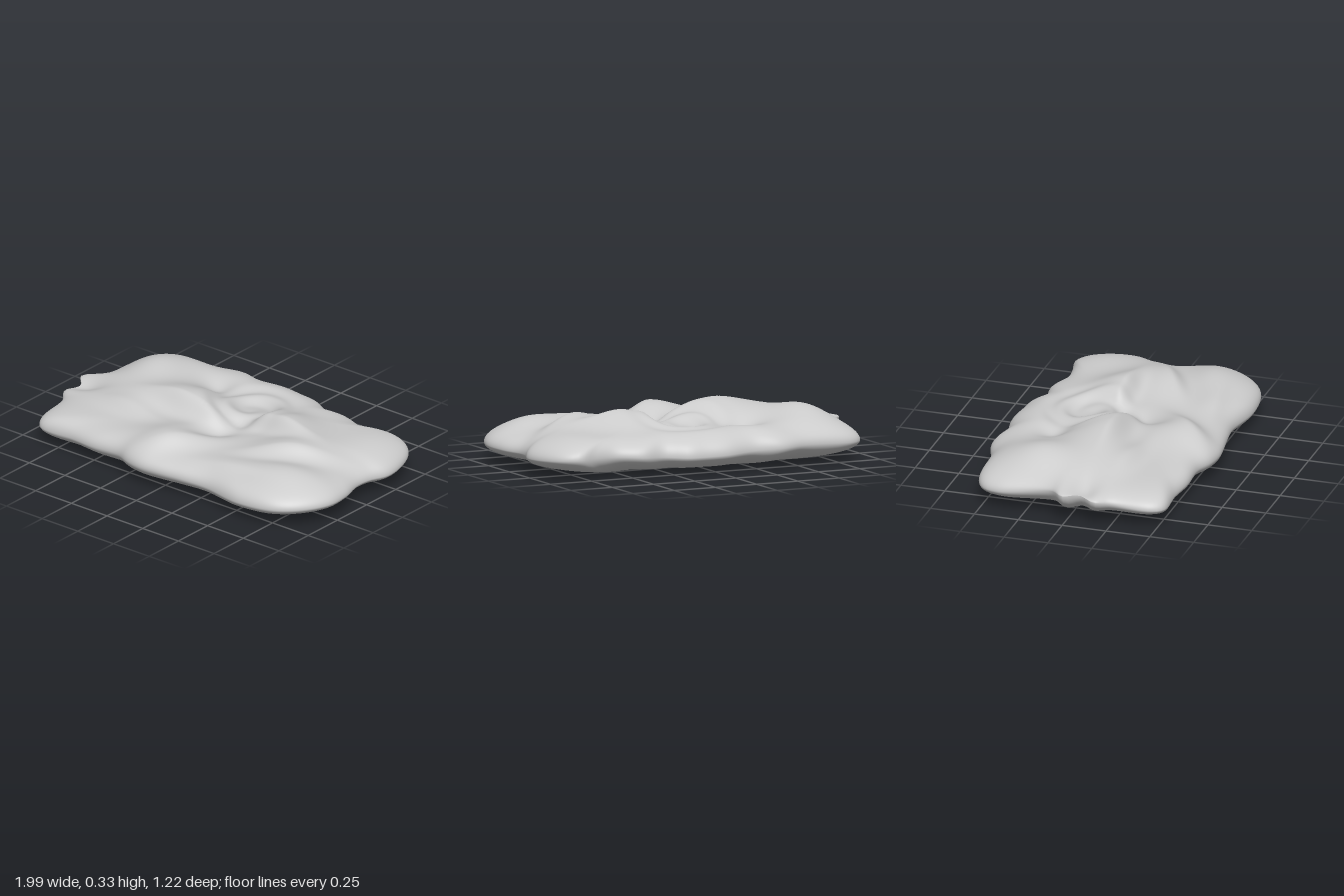
import * as THREE from 'three';
import { mergeVertices } from 'three/addons/utils/BufferGeometryUtils.js';

// Plan outline [x, z], counter-clockwise seen from above
const OUTLINE = [
  [0.99, -0.2], [0.97, -0.35], [0.91, -0.47], [0.83, -0.52], [0.72, -0.5], [0.6, -0.49],
  [0.45, -0.54], [0.32, -0.53], [0.2, -0.59], [0.1, -0.6], [-0.03, -0.61], [-0.2, -0.58],
  [-0.36, -0.61], [-0.53, -0.56], [-0.8, -0.54], [-0.88, -0.49], [-0.915, -0.4], [-0.915, -0.1],
  [-1, 0], [-0.94, 0.08], [-0.98, 0.17], [-0.93, 0.25], [-0.9, 0.47], [-0.85, 0.53],
  [-0.64, 0.53], [-0.48, 0.55], [-0.3, 0.55], [-0.2, 0.59], [-0.1, 0.605], [0, 0.595],
  [0.15, 0.57], [0.32, 0.55], [0.58, 0.585], [0.8, 0.55], [0.92, 0.45], [0.99, 0.3],
  [0.98, 0.15], [0.94, 0], [0.95, -0.1],
];

// Folds: x, z, height, turn, half length, width behind, width in front
const FOLDS = [
  [-0.24, 0.03, 0.12, 0, 0.19, 0.16, 0.06],
  [-0.66, -0.22, 0.1, 0, 0.15, 0.16, 0.17],
  [0.34, -0.08, 0.1, 0, 0.15, 0.15, 0.045],
  [0.57, 0.1, 0.08, 0.52, 0.18, 0.14, 0.05],
  [-0.04, 0.4, 0.075, 0.8, 0.16, 0.15, 0.06],
  [0.72, 0.32, 0.05, 0.2, 0.16, 0.1, 0.12],
  [-0.5, 0.2, 0.05, -0.1, 0.15, 0.12, 0.05],
  [0.8, -0.3, 0.03, 0, 0.15, 0.15, 0.15],
  [-0.1, -0.45, 0.035, 0, 0.35, 0.12, 0.1],
  [0.4, 0.42, 0.025, 0.15, 0.15, 0.08, 0.04],
];
const HOLLOWS = [
  [-0.27, -0.28, -0.035, -0.8, 0.07, 0.06, 0.06],
  [0.08, 0.1, -0.04, 1.1, 0.13, 0.05, 0.05],
  [0.04, -0.17, -0.02, 0, 0.09, 0.09, 0.09],
  [-0.92, 0.09, -0.05, 0, 0.09, 0.05, 0.05],
];

function topHeight(x, z) {
  let y = 0.2;
  for (const [cx, cz, h, turn, len, back, front] of [...FOLDS, ...HOLLOWS]) {
    const c = Math.cos(turn), s = Math.sin(turn), dx = x - cx, dz = z - cz;
    const u = (dx * c - dz * s) / len;
    const v = dx * s + dz * c;
    const w = v / (v > 0 ? front : back);
    y += h * Math.exp(-(u * u + w * w) / 2);
  }
  // Shallow swirl around the middle hollow
  const r = Math.hypot(x - 0.04, z + 0.17), a = Math.atan2(z + 0.17, x - 0.04);
  y += 0.012 * Math.sin(r * 38 - a) * Math.exp(-((r - 0.17) ** 2) / 0.01);
  return y;
}

// Height of the widest line, raised at the pointed end
const rimHeight = (x, z) =>
  0.11 + 0.05 * Math.exp(-((x + 1) ** 2 + z * z) / 0.05) + 0.01 * Math.sin(5 * x + 4 * z);

export function createModel() {
  const group = new THREE.Group();
  const curve = new THREE.CatmullRomCurve3(
    OUTLINE.map(([x, z]) => new THREE.Vector3(x, 0, z)), true, 'centripetal');
  const SEG = 220, RINGS = 130;
  const edge = curve.getSpacedPoints(SEG).slice(0, SEG);
  const positions = [], index = [];

  // Rings run from the middle of the top, over the rim, to the middle of the base
  for (let i = 0; i <= RINGS; i++) {
    const t = i === RINGS ? 0 : Math.sin((Math.PI * i) / RINGS);
    const round = Math.sqrt(Math.max(0, 1 - t ** 8));
    for (const e of edge) {
      const x = e.x * t, z = e.z * t, rim = rimHeight(e.x, e.z);
      const base = 0.045 * t ** 2.5;
      const y = i <= RINGS / 2
        ? rim + (topHeight(x, z) - rim) * round
        : base + (rim - 0.045) * (1 - round);
      positions.push(x, y, z);
    }
  }
  for (let i = 0; i < RINGS; i++) {
    for (let j = 0; j < SEG; j++) {
      const k = (j + 1) % SEG;
      const a = i * SEG + j, b = a + SEG, c = (i + 1) * SEG + k, d = i * SEG + k;
      if (i > 0) index.push(a, c, d);
      if (i < RINGS - 1) index.push(a, b, c);
    }
  }
  let geometry = new THREE.BufferGeometry();
  geometry.setAttribute('position', new THREE.Float32BufferAttribute(positions, 3));
  geometry.setIndex(index);
  geometry = mergeVertices(geometry, 1e-5);
  geometry.computeVertexNormals();

  const slab = new THREE.Mesh(geometry, new THREE.MeshStandardMaterial({ color: 0xcccccc }));
  slab.name = 'foldedSlab';
  group.add(slab);
  return group;
}
